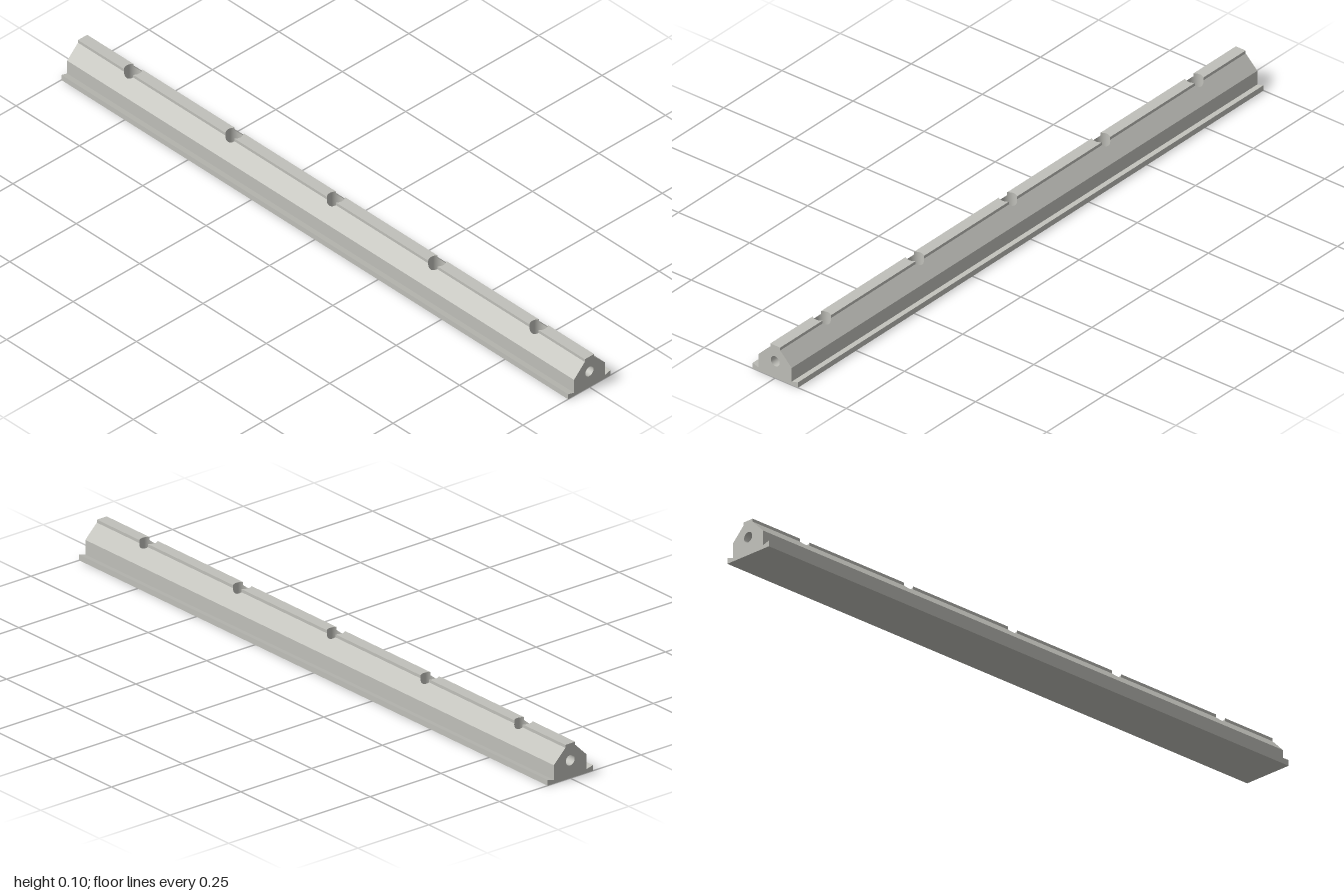
import * as THREE from 'three';

const W = 0.0174, RIDGE = 0.1036, STEP = 0.0946;   // ridge half width, top and foot
const SHOULDER = [0.058, 0.0545];                  // z, y where the slope meets the side
const R = 0.025, FLOOR = 0.05;                     // top holes
const BORE_R = 0.0155, BORE_Y = 0.0535, BORE_DEPTH = 0.1;
const HOLES = [-0.8, -0.4, 0, 0.4, 0.8];
const A = Math.asin(W / R);                        // angle where a hole crosses the ridge side
const CHORD = R * Math.cos(A);

// half cross-section (z, y) from the base up to the ridge
const HALF = [[0.08, 0], [0.08, 0.017], [0.058, 0.011], SHOULDER, [W, STEP], [W, RIDGE]];

const slopeY = z => STEP + (Math.abs(z) - W) * (SHOULDER[1] - STEP) / (SHOULDER[0] - W);

// points on a hole's rim, in plan (x, -z)
function rim(cx, from, to, n = 16) {
  return Array.from({ length: n + 1 }, (_, i) => {
    const a = from + (to - from) * i / n;
    return new THREE.Vector2(cx + R * Math.cos(a), R * Math.sin(a));
  });
}

// flat outline moved into place by a rule (u, v) -> [x, y, z]
function panel(points, rule) {
  const geo = new THREE.ShapeGeometry(new THREE.Shape(points));
  const p = geo.attributes.position;
  for (let i = 0; i < p.count; i++) p.setXYZ(i, ...rule(p.getX(i), p.getY(i)));
  geo.computeVertexNormals();
  return geo;
}

// long strip between two cross-section points
function strip([z0, y0], [z1, y1], x0 = -1, x1 = 1) {
  const pts = [[x0, 0], [x1, 0], [x1, 1], [x0, 1]].map(p => new THREE.Vector2(...p));
  return panel(pts, (x, t) => [x, y0 + (y1 - y0) * t, z0 + (z1 - z0) * t]);
}

export function createModel() {
  const model = new THREE.Group();
  model.name = 'mountingRail';
  const metal = new THREE.MeshStandardMaterial({ color: 0xc0c0ba, side: THREE.DoubleSide });
  metal.name = 'paleGreyMetal';
  const add = (name, geo) => {
    const mesh = new THREE.Mesh(geo, metal);
    mesh.name = name;
    model.add(mesh);
    return mesh;
  };

  // underside, flanges and sides
  add('underside', strip([-0.08, 0], [0.08, 0]));
  const sideNames = ['flangeEdge', 'flangeTop', 'sideWall'];
  sideNames.forEach((name, i) => {
    add(name + 'Front', strip(HALF[i], HALF[i + 1]));
    const mirror = ([z, y]) => [-z, y];
    add(name + 'Back', strip(mirror(HALF[i + 1]), mirror(HALF[i])));
  });

  // slopes, with a bite taken out by each hole
  for (const s of [1, -1]) {
    const outline = [new THREE.Vector2(-1, -SHOULDER[0]), new THREE.Vector2(1, -SHOULDER[0]), new THREE.Vector2(1, -W)];
    for (const c of [...HOLES].reverse()) outline.push(...rim(c, -A, A - Math.PI));
    outline.push(new THREE.Vector2(-1, -W));
    outline.forEach(p => { p.y *= s; });
    add(s > 0 ? 'slopeFront' : 'slopeBack', panel(outline, (x, v) => [x, slopeY(v), -v]));
  }

  // ridge pieces between the holes
  for (let i = 0; i <= HOLES.length; i++) {
    const left = HOLES[i - 1], right = HOLES[i];
    const start = left === undefined
      ? [new THREE.Vector2(-1, W), new THREE.Vector2(-1, -W)] : rim(left, A, -A);
    const end = right === undefined
      ? [new THREE.Vector2(1, -W), new THREE.Vector2(1, W)] : rim(right, Math.PI + A, Math.PI - A);
    add('ridgeTop', panel([...start, ...end], (x, v) => [x, RIDGE, -v]));
    const x0 = left === undefined ? -1 : left + CHORD;
    const x1 = right === undefined ? 1 : right - CHORD;
    add('ridgeSideFront', strip([W, STEP], [W, RIDGE], x0, x1));
    add('ridgeSideBack', strip([-W, RIDGE], [-W, STEP], x0, x1));
  }

  // hole walls: arcs under the slopes and arcs under the ridge
  const b = Math.acos(W / R);
  const arcs = [[-b, 2 * b, true], [b, Math.PI - 2 * b, false],
    [Math.PI - b, 2 * b, true], [Math.PI + b, Math.PI - 2 * b, false]];
  for (const c of HOLES) {
    for (const [start, length, sloped] of arcs) {
      const geo = new THREE.CylinderGeometry(R, R, 1, 16, 1, true, start, length);
      const p = geo.attributes.position;
      for (let i = 0; i < p.count; i++) {
        const top = sloped ? slopeY(p.getZ(i)) : RIDGE;
        p.setY(i, p.getY(i) > 0 ? top : FLOOR);
      }
      add('holeWall', geo).position.x = c;
    }
    const floor = add('holeFloor', new THREE.CircleGeometry(R, 48).rotateX(-Math.PI / 2));
    floor.position.set(c, FLOOR, 0);
  }

  // end faces, each with a blind bore
  const section = new THREE.Shape([
    ...HALF.map(([z, y]) => new THREE.Vector2(z, y)),
    ...[...HALF].reverse().map(([z, y]) => new THREE.Vector2(-z, y)),
  ]);
  section.holes.push(new THREE.Path().absarc(0, BORE_Y, BORE_R, 0, Math.PI * 2, true));
  for (const s of [1, -1]) {
    const end = new THREE.Group();
    end.name = s > 0 ? 'leftEnd' : 'rightEnd';
    const face = add('endFace', new THREE.ShapeGeometry(section, 16));
    const wall = add('boreWall', new THREE.CylinderGeometry(BORE_R, BORE_R, BORE_DEPTH, 32, 1, true).rotateX(Math.PI / 2));
    wall.position.set(0, BORE_Y, -BORE_DEPTH / 2);
    const floor = add('boreFloor', new THREE.CircleGeometry(BORE_R, 32));
    floor.position.set(0, BORE_Y, -BORE_DEPTH);
    end.add(face, wall, floor);
    end.rotation.y = s * Math.PI / 2;
    end.position.x = s;
    model.add(end);
  }
  return model;
}
